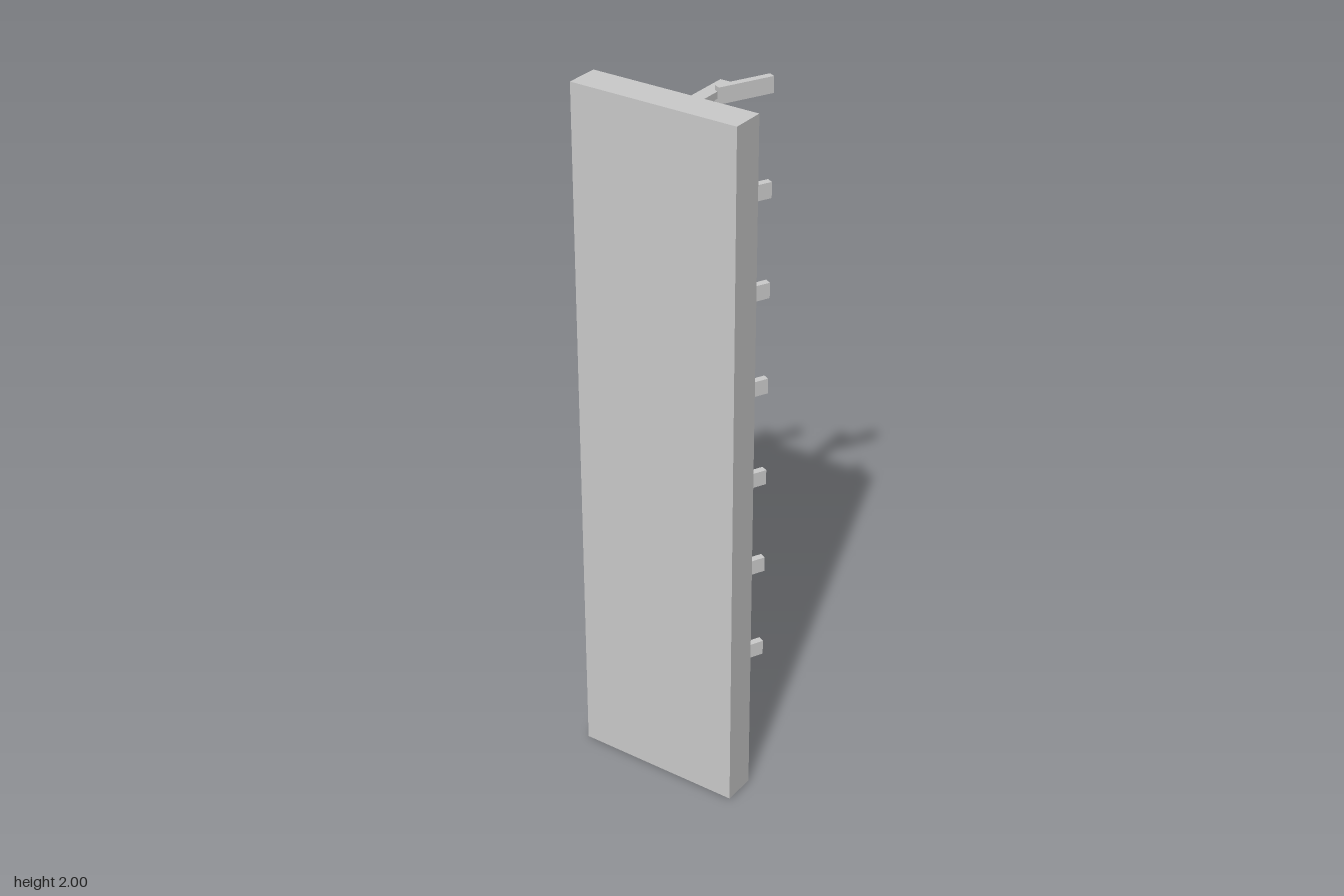
import * as THREE from 'three';

export function createModel() {
  const model = new THREE.Group();
  model.name = 'pegBoard';
  const material = new THREE.MeshStandardMaterial({ color: 0xcccccc, flatShading: true });

  const addBox = (parent, name, size, position, turn = 0) => {
    const mesh = new THREE.Mesh(new THREE.BoxGeometry(...size), material);
    mesh.name = name;
    mesh.position.set(...position);
    mesh.rotation.y = turn;
    parent.add(mesh);
  };

  // Upright board
  addBox(model, 'board', [0.486, 2, 0.095], [0.021, 1, 0.1445]);

  // Flat peg reaching back, with a taller angled prong near its end
  const addHook = (name, x, y) => {
    const hook = new THREE.Group();
    hook.name = name;
    hook.position.set(x, y, 0);
    addBox(hook, 'peg', [0.039, 0.019, 0.215], [0, 0, -0.0125]);
    addBox(hook, 'prong', [0.02, 0.045, 0.157], [0.052, 0, -0.12], -0.46);
    model.add(hook);
  };

  // Two staggered columns of hooks
  const rows = 7;
  const spacing = 0.286;
  for (let i = 0; i < rows; i++) {
    addHook('edgeHook', -0.246, 0.06 + i * spacing);
    addHook('middleHook', 0.027, 0.23 + i * spacing);
  }
  return model;
}
